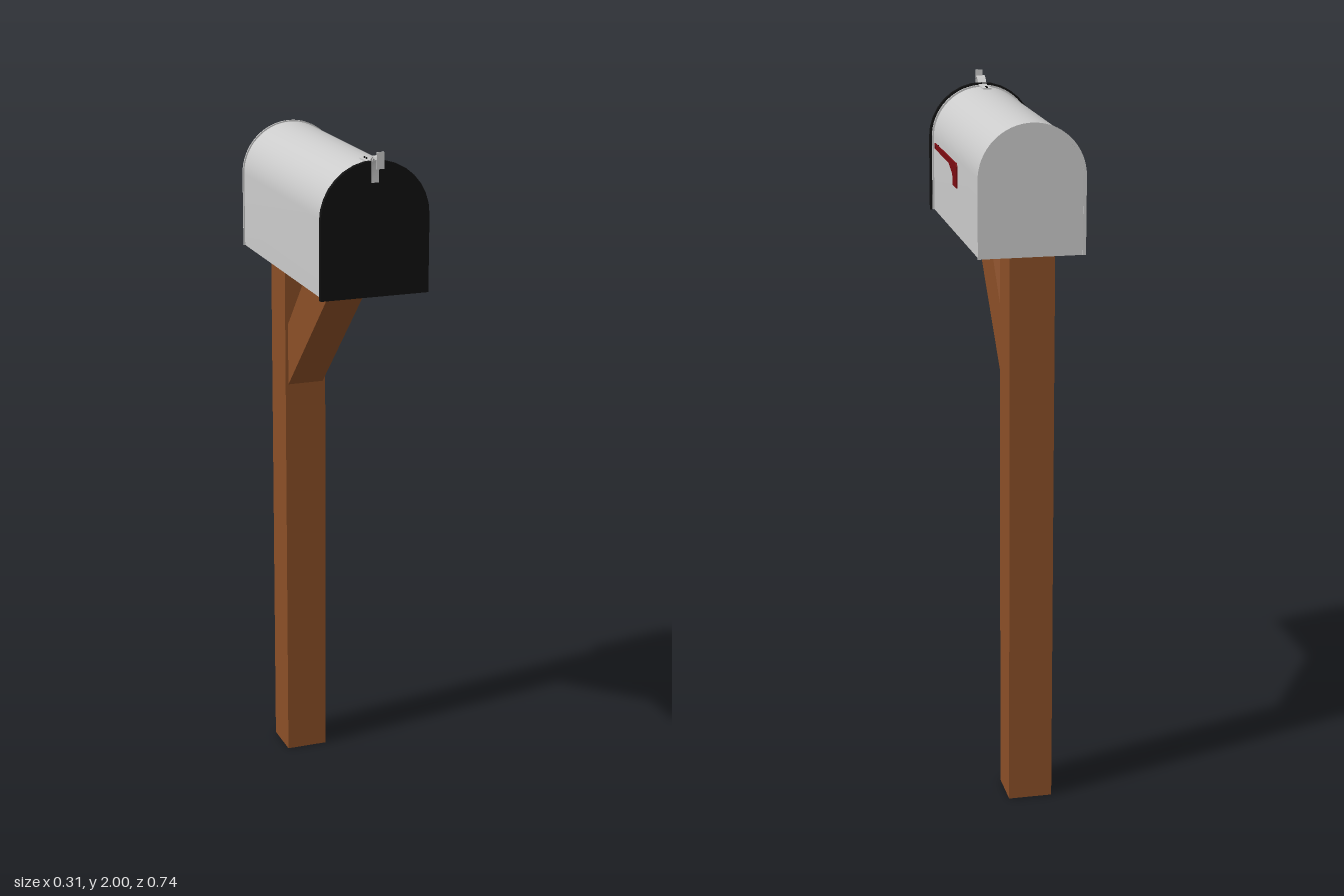
import * as THREE from 'three';
import { toCreasedNormals } from 'three/addons/utils/BufferGeometryUtils.js';

const mat = (color, side = THREE.FrontSide) => new THREE.MeshStandardMaterial({ color, side });

// Outline of a straight-sided arch standing on y = bottom
function archPath(Type, r, bottom, springY = 1.815) {
  const p = new Type();
  p.moveTo(-r, bottom);
  p.lineTo(r, bottom);
  p.lineTo(r, springY);
  p.absarc(0, springY, r, 0, Math.PI, false);
  p.lineTo(-r, bottom);
  return p;
}

// Extrude an XY shape between two z values, smooth on the curve and sharp at the edges
function extrudeZ(shape, z0, z1, curveSegments = 16) {
  const g = new THREE.ExtrudeGeometry(shape, { depth: z1 - z0, bevelEnabled: false, curveSegments });
  g.translate(0, 0, z0);
  return toCreasedNormals(g, 0.6);
}

// Extrude a side profile of [z, y] points across x, centred at cx
function extrudeX(points, width, cx) {
  const shape = new THREE.Shape(points.map(([z, y]) => new THREE.Vector2(-z, y)));
  const g = new THREE.ExtrudeGeometry(shape, { depth: width, bevelEnabled: false });
  g.translate(0, 0, -width / 2);
  g.rotateY(Math.PI / 2);
  g.translate(cx, 0, 0);
  return toCreasedNormals(g, 0.5);
}

// Bent sheet-metal strip following a [z, y] path
function strip(path, width, cx, t = 0.004) {
  const pts = path.map(([z, y]) => new THREE.Vector2(z, y));
  const off = pts.map((p, i) => {
    const a = pts[Math.max(i - 1, 0)], b = pts[Math.min(i + 1, pts.length - 1)];
    const d = b.clone().sub(a).normalize();
    return [p.x + d.y * t, p.y - d.x * t];
  });
  return extrudeX([...path, ...off.reverse()], width, cx);
}

export function createModel() {
  const model = new THREE.Group();
  model.name = 'mailbox';
  const metal = mat(0xcccccc), wood = mat(0x8b4f27), black = mat(0x111111), red = mat(0x7d0c12);
  const add = (name, geometry, material, parent = model) => {
    const m = new THREE.Mesh(geometry, material);
    m.name = name;
    parent.add(m);
    return m;
  };
  const box = (w, h, d, x, y, z) => new THREE.BoxGeometry(w, h, d).translate(x, y, z);

  // Post and diagonal brace
  add('post', box(0.125, 1.62, 0.125, -0.003, 0.81, -0.298), wood);
  add('brace', extrudeX([[0.18, 1.62], [-0.03, 1.62], [-0.01, 1.6], [-0.235, 1.385], [-0.235, 1.2]]
    .filter((_, i) => i !== 2), 0.108, -0.003), wood);

  // Box shell: arched wall, open below, with rims at both ends
  const body = new THREE.Group();
  body.name = 'body';
  model.add(body);
  const ring = (outer, inner, bottom) => {
    const s = new THREE.Shape();
    s.moveTo(outer, bottom);
    s.lineTo(outer, 1.815);
    s.absarc(0, 1.815, outer, 0, Math.PI, false);
    s.lineTo(-outer, bottom);
    s.lineTo(-inner, bottom);
    s.lineTo(-inner, 1.815);
    s.absarc(0, 1.815, inner, Math.PI, 0, true);
    s.lineTo(inner, bottom);
    return s;
  };
  add('shell', extrudeZ(ring(0.144, 0.139, 1.602), -0.366, 0.312), metal, body);
  add('frontRim', extrudeZ(ring(0.149, 0.139, 1.602), 0.308, 0.314), metal, body);
  add('backRim', extrudeZ(ring(0.148, 0.139, 1.602), -0.371, -0.366), metal, body);
  add('backPanel', extrudeZ(archPath(THREE.Shape, 0.142, 1.602), -0.37, -0.363), metal, body);
  add('floor', box(0.28, 0.005, 0.675, 0, 1.62, -0.027), metal, body);
  add('frontLip', box(0.28, 0.02, 0.005, 0, 1.612, 0.31), metal, body);

  // Door with a shallow flange around its edge
  const door = new THREE.Group();
  door.name = 'door';
  model.add(door);
  add('doorPanel', extrudeZ(archPath(THREE.Shape, 0.155, 1.6), 0.32, 0.327, 8), black, door);
  add('doorFlange', extrudeZ(ring(0.155, 0.15, 1.6), 0.314, 0.32, 8), black, door);

  // Latch: a strip riveted on the roof and a curled pull tab on the door
  const latch = new THREE.Group();
  latch.name = 'latch';
  model.add(latch);
  add('roofStrip', strip([[0.243, 1.964], [0.31, 1.964], [0.32, 1.97], [0.33, 1.981], [0.342, 1.987],
    [0.354, 1.985], [0.362, 1.978]], 0.024, -0.003), metal, latch);
  add('doorStrip', strip([[0.332, 1.912], [0.332, 1.962], [0.335, 1.973], [0.345, 1.979], [0.367, 1.979]].reverse(),
    0.02, -0.003), metal, latch);
  add('pullTab', box(0.02, 0.045, 0.004, -0.003, 1.9775, 0.368), metal, latch);
  for (const z of [0.25, 0.265]) {
    add('rivet', new THREE.CylinderGeometry(0.003, 0.003, 0.004, 10).translate(-0.003, 1.965, z), black, latch);
  }

  // Signal flag on the left side, with its pivot
  const flag = new THREE.Group();
  flag.name = 'flag';
  model.add(flag);
  add('flagArm', extrudeX([[0.24, 1.81], [-0.088, 1.81], [-0.096, 1.802], [-0.096, 1.742], [-0.04, 1.742],
    [-0.04, 1.765], [-0.03, 1.775], [0.015, 1.792], [0.24, 1.795]], 0.004, 0.152), red, flag);
  add('flagPivot', new THREE.CylinderGeometry(0.004, 0.004, 0.014, 12).rotateZ(Math.PI / 2)
    .translate(0.148, 1.802, 0.227), black, flag);

  return model;
}
